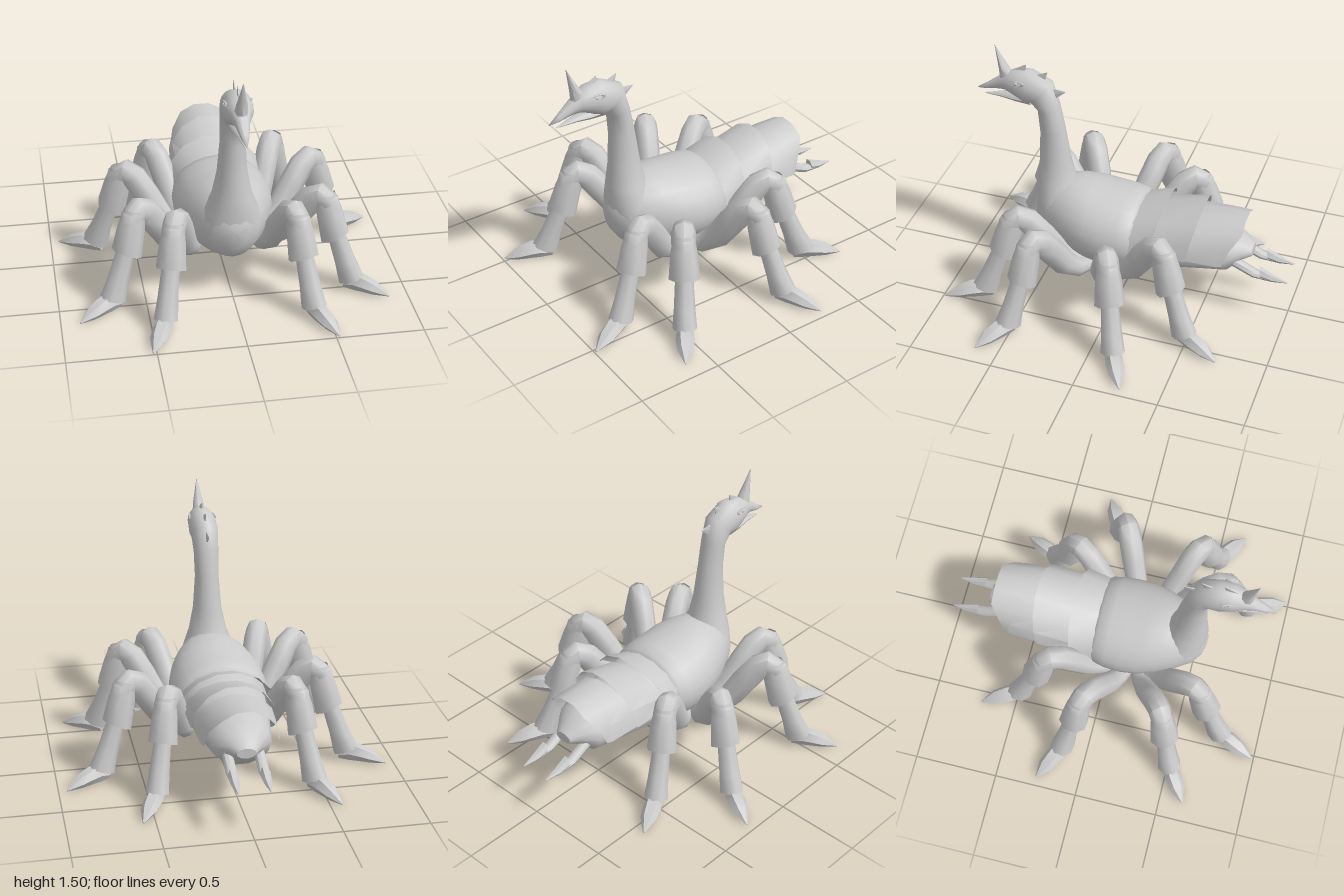
import * as THREE from 'three';
import { toCreasedNormals } from 'three/addons/utils/BufferGeometryUtils.js';

const mat = new THREE.MeshStandardMaterial({ color: 0xcccccc });
const thin = new THREE.MeshStandardMaterial({ color: 0xcccccc, side: THREE.DoubleSide });

// Sweeps elliptical rings along a path in the zy plane (heading to +z).
// Row: [z, y, half height, half width, tilt, bow]; tilt defaults to the path
// direction, bow pushes the ring's flanks forward.
function sweep(rows, { sides = 10, arc = Math.PI * 2, cap = true, crease = 0.8 } = {}) {
  const pos = [], idx = [], n = sides + 1;
  rows.forEach(([z, y, h, w, tilt, bow = 0], i) => {
    const a = rows[Math.max(i - 1, 0)], b = rows[Math.min(i + 1, rows.length - 1)];
    const t = tilt ?? Math.atan2(b[1] - a[1], b[0] - a[0]);
    for (let j = 0; j < n; j++) {
      const u = (j / sides) * arc, v = h * Math.sin(u);
      const flank = bow * Math.max(0, Math.abs(Math.cos(u)) * 4 - 3);
      pos.push(w * Math.cos(u), y + v * Math.cos(t), z - v * Math.sin(t) + flank);
    }
  });
  for (let i = 0; i < rows.length - 1; i++) {
    for (let j = 0; j < sides; j++) {
      const p = i * n + j, q = p + n;
      idx.push(p, p + 1, q, p + 1, q + 1, q);
    }
  }
  if (cap) {
    const last = rows.length - 1, c = rows.length * n;
    pos.push(0, rows[0][1], rows[0][0], 0, rows[last][1], rows[last][0]);
    for (let j = 0; j < sides; j++) {
      idx.push(c, j + 1, j, c + 1, last * n + j, last * n + j + 1);
    }
  }
  const g = new THREE.BufferGeometry();
  g.setAttribute('position', new THREE.Float32BufferAttribute(pos, 3));
  g.setIndex(idx);
  return toCreasedNormals(g, crease);
}

function add(parent, name, geo, material = mat) {
  const m = new THREE.Mesh(geo, material);
  m.name = name;
  parent.add(m);
  return m;
}

// One jointed leg reaching out along its local +z
function makeLeg(name, reach) {
  const leg = new THREE.Group();
  leg.name = name;
  const along = (rows) => rows.map(([s, ...rest]) => [s * reach, ...rest]);
  add(leg, 'thigh', sweep(along([
    [-0.1, 0.21, 0.04, 0.04], [0.02, 0.23, 0.06, 0.055], [0.12, 0.31, 0.075, 0.066],
    [0.21, 0.44, 0.08, 0.07], [0.29, 0.545, 0.078, 0.07], [0.345, 0.578, 0.071, 0.068],
    [0.39, 0.545, 0.07, 0.066], [0.43, 0.42, 0.064, 0.062]
  ]), { sides: 8, crease: 1 }));
  add(leg, 'kneeCuff', sweep(along([
    [0.373, 0.585, 0.062, 0.058], [0.403, 0.48, 0.08, 0.076], [0.445, 0.328, 0.09, 0.088, -1.12]
  ]), { sides: 8, cap: false, crease: 1 }), thin);
  add(leg, 'shin', sweep(along([
    [0.415, 0.45, 0.05, 0.05], [0.457, 0.33, 0.053, 0.052], [0.515, 0.18, 0.062, 0.06], [0.56, 0.066, 0.08, 0.07]
  ]), { sides: 8, crease: 1 }));
  add(leg, 'foot', sweep(along([
    [0.52, 0.03, 0.03, 0.03, 0], [0.59, 0.053, 0.055, 0.048, 0],
    [0.645, 0.052, 0.051, 0.053, 0], [0.72, 0.038, 0.038, 0.046, 0], [0.81, 0.008, 0.005, 0.005, 0]
  ]), { sides: 6, crease: 0.7 }));
  return leg;
}

export function createModel() {
  const model = new THREE.Group();
  model.name = 'longNeckedCreature';

  // Thorax, neck and head
  add(model, 'thorax', sweep([
    [-0.1, 0.41, 0.19, 0.25, 0], [-0.07, 0.415, 0.215, 0.27, 0], [0, 0.412, 0.234, 0.285, 0],
    [0.1, 0.413, 0.24, 0.29, 0], [0.2, 0.425, 0.245, 0.28, 0], [0.3, 0.44, 0.24, 0.25, 0],
    [0.4, 0.445, 0.22, 0.205, 0], [0.5, 0.45, 0.175, 0.145, 0], [0.55, 0.46, 0.11, 0.085, 0], [0.57, 0.47, 0.02, 0.02, 0]
  ], { sides: 24, crease: 1 }));
  add(model, 'neckAndHead', sweep([
    [0.41, 0.46, 0.15, 0.18, 1.57], [0.425, 0.56, 0.14, 0.155, 1.57], [0.445, 0.66, 0.116, 0.115, 1.57],
    [0.452, 0.8, 0.094, 0.087, 1.55],
    [0.463, 1, 0.076, 0.072, 1.5], [0.483, 1.15, 0.066, 0.075, 1.35], [0.525, 1.245, 0.095, 0.082, 0.75],
    [0.6, 1.265, 0.112, 0.085, 0.1], [0.68, 1.283, 0.083, 0.078, 0], [0.735, 1.28, 0.058, 0.056, 0],
    [0.78, 1.263, 0.042, 0.04, 0], [0.86, 1.222, 0.02, 0.022, 0], [0.92, 1.197, 0.003, 0.003, 0]
  ], { sides: 18, crease: 1.2 }));
  add(model, 'lowerBeak', sweep([
    [0.58, 1.195, 0.04, 0.06, 0], [0.68, 1.185, 0.026, 0.045, 0],
    [0.76, 1.182, 0.016, 0.028, 0], [0.875, 1.166, 0.003, 0.003, 0]
  ], { sides: 10 }));
  add(model, 'horn', sweep([
    [0.735, 1.31, 0.046, 0.038, 1.4], [0.755, 1.37, 0.028, 0.031, 1.4],
    [0.773, 1.42, 0.017, 0.02, 1.35], [0.8, 1.505, 0.002, 0.002, 1.3]
  ], { sides: 8 }));

  // Crest of thin spikes: [base z, base y, tip z, tip y, half length of base]
  const crest = [
    [0.66, 1.34, 0.615, 1.408, 0.045], [0.535, 1.325, 0.487, 1.38, 0.04], [0.465, 1.243, 0.38, 1.27, 0.045]
  ];
  crest.forEach(([z, y, tz, ty, h], i) => add(model, 'crestSpike' + (i + 1), sweep(
    [[tz, ty, 0.002, 0.002], [z, y, h, 0.01]], { sides: 6, crease: 0.4 })));

  // Eyes: almond lids around a small ball
  for (const s of [1, -1]) {
    const eye = new THREE.Group();
    eye.name = s > 0 ? 'leftEye' : 'rightEye';
    const lid = add(eye, 'eyelid', new THREE.TorusGeometry(0.024, 0.006, 6, 16));
    lid.scale.set(1.9, 0.65, 1);
    add(eye, 'eyeball', new THREE.SphereGeometry(0.012, 10, 8));
    eye.position.set(s * 0.068, 1.312, 0.655);
    eye.rotation.set(0, s * 1.35, s * 0.15);
    model.add(eye);
  }

  // Abdomen under overlapping armour plates
  add(model, 'abdomen', sweep([
    [-0.77, 0.415, 0.03, 0.055, 0], [-0.72, 0.42, 0.06, 0.095, 0], [-0.635, 0.408, 0.128, 0.17, 0],
    [-0.35, 0.41, 0.165, 0.22, 0], [-0.05, 0.41, 0.2, 0.26, 0]
  ], { sides: 14 }));
  const plates = [
    [[-0.2, 0.42, 0.255, 0.285, 0.2], [-0.06, 0.42, 0.19, 0.26, 0.1]],
    [[-0.42, 0.42, 0.275, 0.25, 0.2], [-0.18, 0.42, 0.19, 0.25, 0.2]],
    [[-0.725, 0.41, 0.24, 0.212, 0, 0.095], [-0.6, 0.41, 0.236, 0.224, 0], [-0.4, 0.42, 0.21, 0.24, 0.2]]
  ];
  plates.forEach((rows, i) => add(model, 'backPlate' + (i + 1),
    sweep(rows, { sides: 7, arc: Math.PI, cap: false, crease: 0.6 }), thin));

  // Pair of barbed tail hooks
  for (const s of [1, -1]) {
    const hook = new THREE.Group();
    hook.name = s > 0 ? 'leftTailHook' : 'rightTailHook';
    add(hook, 'stem', sweep([
      [-0.9, 0.295, 0.012, 0.018], [-0.8, 0.315, 0.026, 0.032], [-0.65, 0.385, 0.032, 0.03]
    ], { sides: 8 }));
    add(hook, 'barb', sweep([
      [-1, 0.291, 0.003, 0.003, 0], [-0.91, 0.304, 0.023, 0.024, 0], [-0.84, 0.325, 0.042, 0.031, -0.2]
    ], { sides: 6, crease: 0.7 }));
    hook.position.x = s * 0.09;
    model.add(hook);
  }

  // Four legs per side: [name, root x, root z, foot tip x, foot tip z]
  const legs = [
    ['Front', 0.2, 0.25, 0.52, 0.99], ['MidFront', 0.25, 0.22, 0.89, 0.64],
    ['MidRear', 0.25, 0.1, 0.95, -0.26], ['Rear', 0.21, 0, 0.57, -0.71]
  ];
  for (const s of [1, -1]) {
    for (const [name, x, z, tx, tz] of legs) {
      const leg = makeLeg((s > 0 ? 'left' : 'right') + name + 'Leg', Math.hypot(tx - x, tz - z) / 0.81);
      leg.position.set(s * x, 0, z);
      leg.rotation.y = Math.atan2(s * (tx - x), tz - z);
      model.add(leg);
    }
  }
  return model;
}
